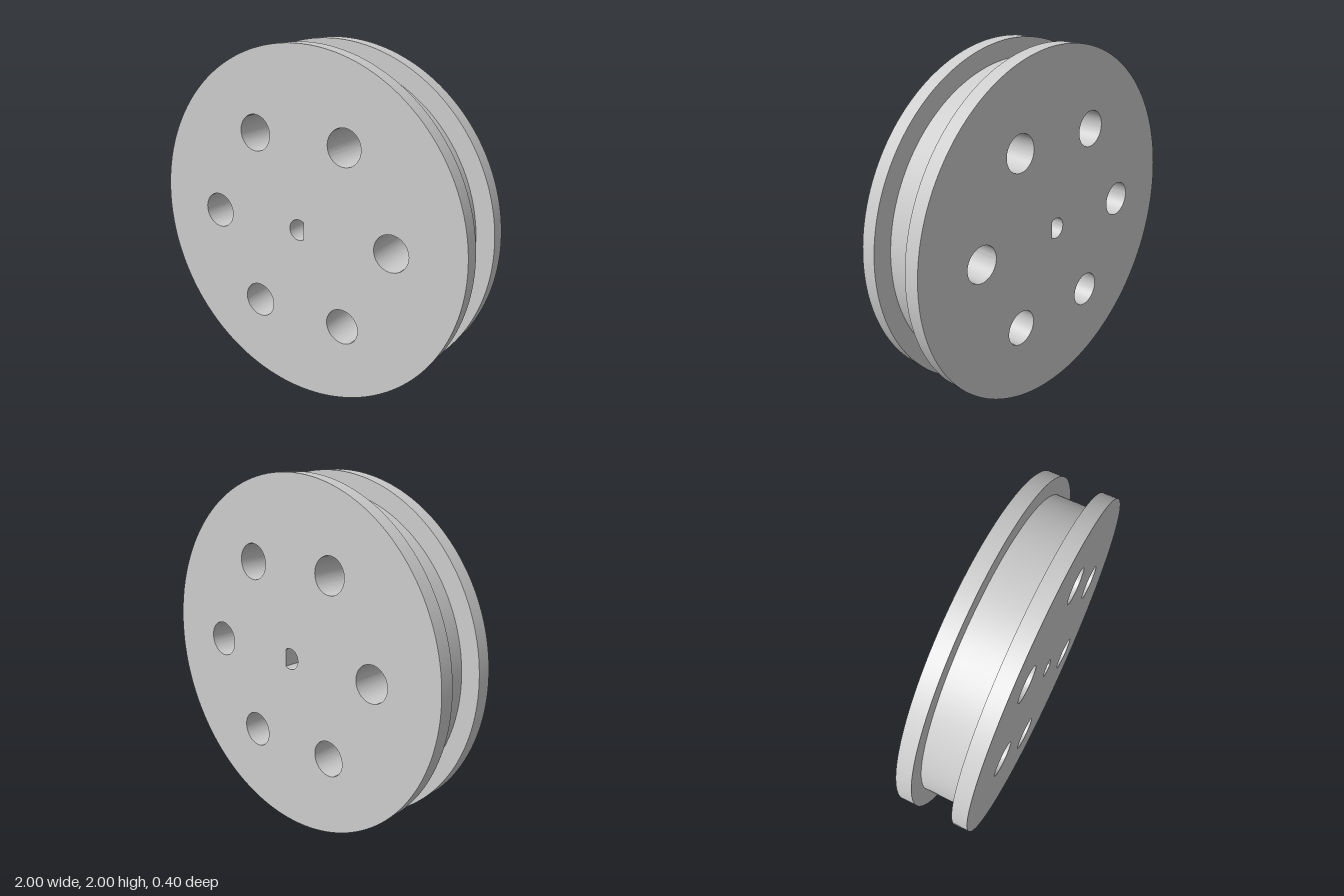
import * as THREE from 'three';
import { toCreasedNormals } from 'three/addons/utils/BufferGeometryUtils.js';

const WIDTH = 0.4, RADIUS = 1, GROOVE_RADIUS = 0.9, GROOVE_HALF = 0.113;

export function createModel() {
  const grey = new THREE.MeshStandardMaterial({ color: 0xcccccc });
  grey.name = 'light grey';

  const disc = new THREE.Shape();
  disc.absarc(0, 0, RADIUS, 0, Math.PI * 2, false);

  // six round lightening holes
  for (let i = 0; i < 6; i++) {
    const a = i * Math.PI / 3;
    const hole = new THREE.Path();
    hole.absarc(0.583 * Math.cos(a), 0.583 * Math.sin(a), 0.102, 0, Math.PI * 2, true);
    disc.holes.push(hole);
  }

  // D-shaped shaft bore with its flat on +x
  const boreRadius = 0.06, flatX = 0.035, flatAngle = Math.acos(flatX / boreRadius);
  const bore = new THREE.Path();
  bore.absarc(0, 0, boreRadius, -flatAngle, flatAngle, true);
  bore.closePath();
  disc.holes.push(bore);

  const geometry = new THREE.ExtrudeGeometry(disc, {
    depth: WIDTH, steps: 5, curveSegments: 100, bevelEnabled: false,
  });
  geometry.translate(0, 0, -WIDTH / 2);

  // groove: bring the middle rings of the rim inward with square walls
  const p = geometry.attributes.position;
  for (let i = 0; i < p.count; i++) {
    const x = p.getX(i), y = p.getY(i), z = p.getZ(i);
    if (Math.hypot(x, y) < 0.95 || Math.abs(z) > 0.19) continue;
    const s = Math.abs(z) < 0.08 ? GROOVE_RADIUS / RADIUS : 1;
    p.setXYZ(i, x * s, y * s, Math.sign(z) * GROOVE_HALF);
  }

  const wheel = new THREE.Mesh(toCreasedNormals(geometry, 0.5), grey);
  wheel.name = 'groovedWheel';
  wheel.position.y = RADIUS;

  const group = new THREE.Group();
  group.name = 'pulleyWheel';
  group.add(wheel);
  return group;
}
